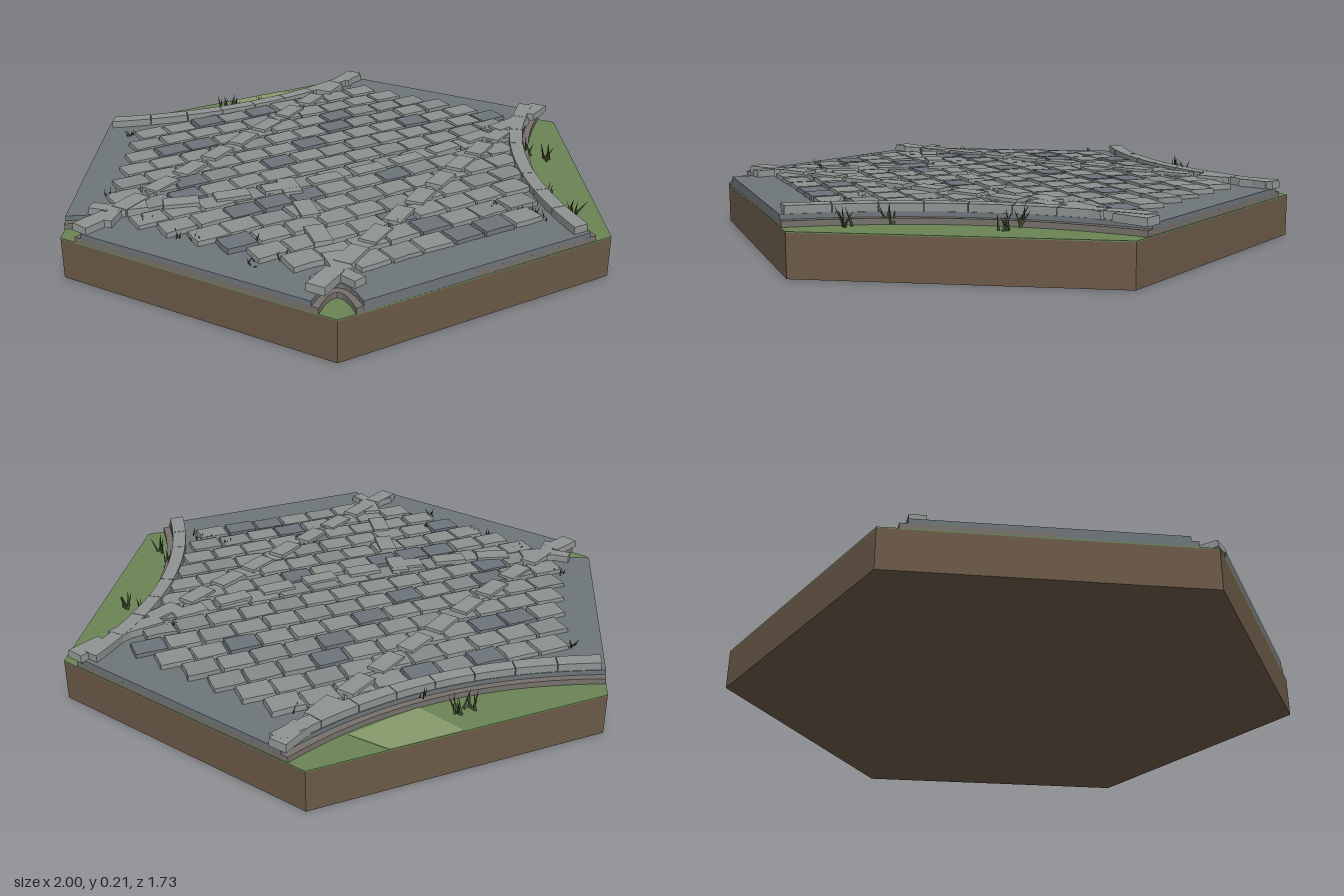
import * as THREE from 'three';

const mat = (color, extra = {}) => new THREE.MeshStandardMaterial({ color, flatShading: true, ...extra });

export function createModel() {
  const model = new THREE.Group();
  const soil = mat(0x6b5a48), grass = mat(0x6b8455), paleGrass = mat(0x899b6c);
  const paving = mat(0x6e767a), border = mat(0x76716c), curbStone = mat(0x8f9492);
  const stoneMats = [mat(0x8d9290), mat(0x858b8a), mat(0x6c747a)];
  const bladeMat = mat(0x3f4d30, { side: THREE.DoubleSide });

  // Small seeded generator for the irregular stones
  let seed = 11;
  const rnd = () => (seed = (seed * 16807) % 2147483647) / 2147483647;
  const jitter = a => (rnd() - 0.5) * 2 * a;

  const group = name => {
    const g = new THREE.Group();
    g.name = name;
    model.add(g);
    return g;
  };
  const add = (parent, geo, material, name) => {
    const m = new THREE.Mesh(geo, material);
    m.name = name;
    parent.add(m);
    return m;
  };
  // Flat plan outline (x, z) raised from y0 to y1
  const slab = (parent, pts, y0, y1, material, name) => {
    const geo = new THREE.ExtrudeGeometry(new THREE.Shape(pts), { depth: y1 - y0, bevelEnabled: false });
    geo.rotateX(Math.PI / 2).translate(0, y1, 0);
    return add(parent, geo, material, name);
  };
  const v = (x, z) => new THREE.Vector2(x, z);
  const turned = (a, ...pts) =>
    new THREE.QuadraticBezierCurve(...pts.map(p => p.rotateAround(v(0, 0), a)));

  // Verge curves, d = distance moved in towards the road
  const wide = (a, d) => turned(a, v(-0.53 - 0.577 * d, -0.81 + d), v(0, -0.59 + d), v(0.53 + 0.577 * d, -0.81 + d));
  const corner = (a, d) => {
    const e = 0.06 + 1.1 * d, x = -1 + 0.5 * e;
    return turned(a, v(x, 0.866 * e), v(2 * (-0.88 + 1.15 * d) - x, 0), v(x, -0.866 * e));
  };
  const SE = Math.PI * 2 / 3, SW = -Math.PI / 3;
  const outline = d => [
    ...wide(0, d).getPoints(20), ...wide(SE, d).getPoints(20),
    ...corner(SW, d).getPoints(8), ...corner(0, d).getPoints(8),
  ];

  // Hexagonal ground
  const hex = (h, y) => new THREE.CylinderGeometry(1, 1, h, 6).rotateY(Math.PI / 6).translate(0, y, 0);
  add(model, hex(0.136, 0.068), soil, 'soilBase');
  add(model, hex(0.004, 0.138), grass, 'grassTop');
  slab(model, [v(0, -0.865), v(0.24, -0.865), v(0.32, -0.75), v(0.07, -0.7)], 0.139, 0.1415, paleGrass, 'paleGrassPatch');

  // Stepped road bed
  slab(model, outline(0), 0.139, 0.159, border, 'roadBorder');
  slab(model, outline(0.022), 0.139, 0.175, paving, 'roadBed');

  // Curved curbs, split into blocks
  const curbs = group('curbs');
  for (const a of [0, SE]) {
    const outer = wide(a, 0.024), inner = wide(a, 0.07), n = 8;
    for (let i = 0; i < n; i++) {
      const t0 = 0.012 + i * 0.122 + 0.001, t1 = t0 + 0.12, pts = [];
      for (let k = 0; k <= 4; k++) pts.push(outer.getPoint(t0 + (t1 - t0) * k / 4));
      for (let k = 4; k >= 0; k--) pts.push(inner.getPoint(t0 + (t1 - t0) * k / 4));
      slab(curbs, pts, 0.17, 0.2, curbStone, 'curbBlock');
    }
  }

  // Rough block with uneven corners and a slightly narrower top
  const block = (parent, x, z, w, d, y0, y1, yaw, material, name, rough) => {
    const geo = new THREE.BoxGeometry(w, y1 - y0, d, 2, 1, 2);
    const p = geo.attributes.position, moved = {};
    for (let i = 0; i < p.count; i++) {
      const key = [p.getX(i), p.getZ(i)].map(n => n.toFixed(3)).join();
      moved[key] ??= [jitter(rough), jitter(rough)];
      const s = p.getY(i) > 0 ? 0.95 : 1;
      p.setX(i, p.getX(i) * s + moved[key][0]);
      p.setZ(i, p.getZ(i) * s + moved[key][1]);
    }
    geo.rotateY(yaw).translate(x, (y0 + y1) / 2, z);
    add(parent, geo, material, name);
  };

  // Staggered cobble rows: [stones in the full row, stones missing on the right]
  const cobbles = group('cobbles');
  const rows = [[9, 0], [10, 0], [11, 0], [12, 0], [13, 0], [14, 0], [13, 0],
    [14, 1], [13, 1], [12, 1], [11, 1], [10, 1], [9, 1], [6, 0]];
  const pitch = 0.1139;
  rows.forEach(([n, missing], r) => {
    for (let i = 0; i < n - missing; i++) {
      const x = (i - (n - 1) / 2) * pitch, z = -0.585 + r * 0.0973;
      const pick = rnd();
      const m = stoneMats[pick < 0.55 ? 0 : pick < 0.82 ? 1 : 2];
      block(cobbles, x + jitter(0.002), z + jitter(0.002), 0.108, 0.086, 0.17, 0.19 + jitter(0.003), jitter(0.02), m, 'cobble', 0.003);
    }
  });

  // Loose edging stones laid across the cobbles
  const edging = group('edgingStones');
  const lines = [
    { pts: [[-0.9, 0.04], [-0.8, 0], [-0.66, -0.08], [-0.2, -0.34], [0.13, -0.53], [0.5, -0.75]], n: 11 },
    { pts: [[-0.46, 0.73], [-0.28, 0.62], [0.03, 0.44], [0.36, 0.25], [0.68, 0.08], [0.92, -0.04]], n: 11 },
    { pts: [[-0.77, 0.0], [-0.58, 0.06], [-0.3, 0.11], [0, 0.13], [0.34, 0.11], [0.72, 0.04]], n: 10 },
    { pts: [[-0.25, 0.12], [-0.28, 0.28], [-0.34, 0.48], [-0.38, 0.66]], n: 4 },
  ];
  for (const { pts, n } of lines) {
    const path = new THREE.CatmullRomCurve3(pts.map(([x, z]) => new THREE.Vector3(x, 0, z)));
    for (let i = 0; i < n; i++) {
      const p = path.getPointAt(i / (n - 1)), t = path.getTangentAt(i / (n - 1));
      block(edging, p.x, p.z, 0.122, 0.064, 0.174, 0.199 + jitter(0.001), Math.atan2(-t.z, t.x) + jitter(0.06), curbStone, 'edgingStone', 0.001);
    }
  }
  // Short stones rounding the narrow corners
  for (const a of [0, SW]) {
    const c = corner(a, 0.045);
    for (const t of [0.3, 0.7]) {
      const p = c.getPoint(t), g = c.getTangent(t);
      block(edging, p.x, p.y, 0.08, 0.045, 0.17, 0.198, Math.atan2(-g.y, g.x), curbStone, 'cornerStone', 0.001);
    }
  }

  // Grass tufts on the verges and sprouts between stones
  const tuft = (parent, x, z, y, h, n, spread, name) => {
    for (let i = 0; i < n; i++) {
      const bladeHeight = h * (0.7 + 0.3 * rnd());
      const geo = new THREE.ConeGeometry(h * 0.08, bladeHeight, 3, 1, true).translate(0, bladeHeight / 2, 0);
      const blade = add(parent, geo, bladeMat, name);
      blade.position.set(x + jitter(spread), y, z + jitter(spread));
      blade.rotation.set(jitter(0.6), rnd() * 6.28, jitter(0.6));
    }
  };
  const tufts = group('grassTufts');
  for (const [x, z] of [[-0.07, -0.77], [-0.02, -0.78], [0.69, 0.21], [0.73, 0.28], [0.51, 0.56], [0.5, 0.68]])
    tuft(tufts, x, z, 0.14, 0.075, 5, 0.014, 'grassBlade');
  const sprouts = group('sprouts');
  for (const [x, z] of [[-0.75, 0.1], [-0.7, 0.25], [-0.67, 0.3], [-0.58, 0.52], [-0.52, 0.4], [-0.49, 0.53], [0.31, 0.65],
    [0.34, 0.72], [0.35, 0.66], [0.05, -0.7], [-0.53, -0.63], [0.44, -0.62], [-0.78, -0.15], [0.63, 0.02], [-0.11, 0.54], [0.26, 0.56]])
    tuft(sprouts, x, z, 0.175, 0.034, 4, 0.018, 'sproutBlade');

  return model;
}
